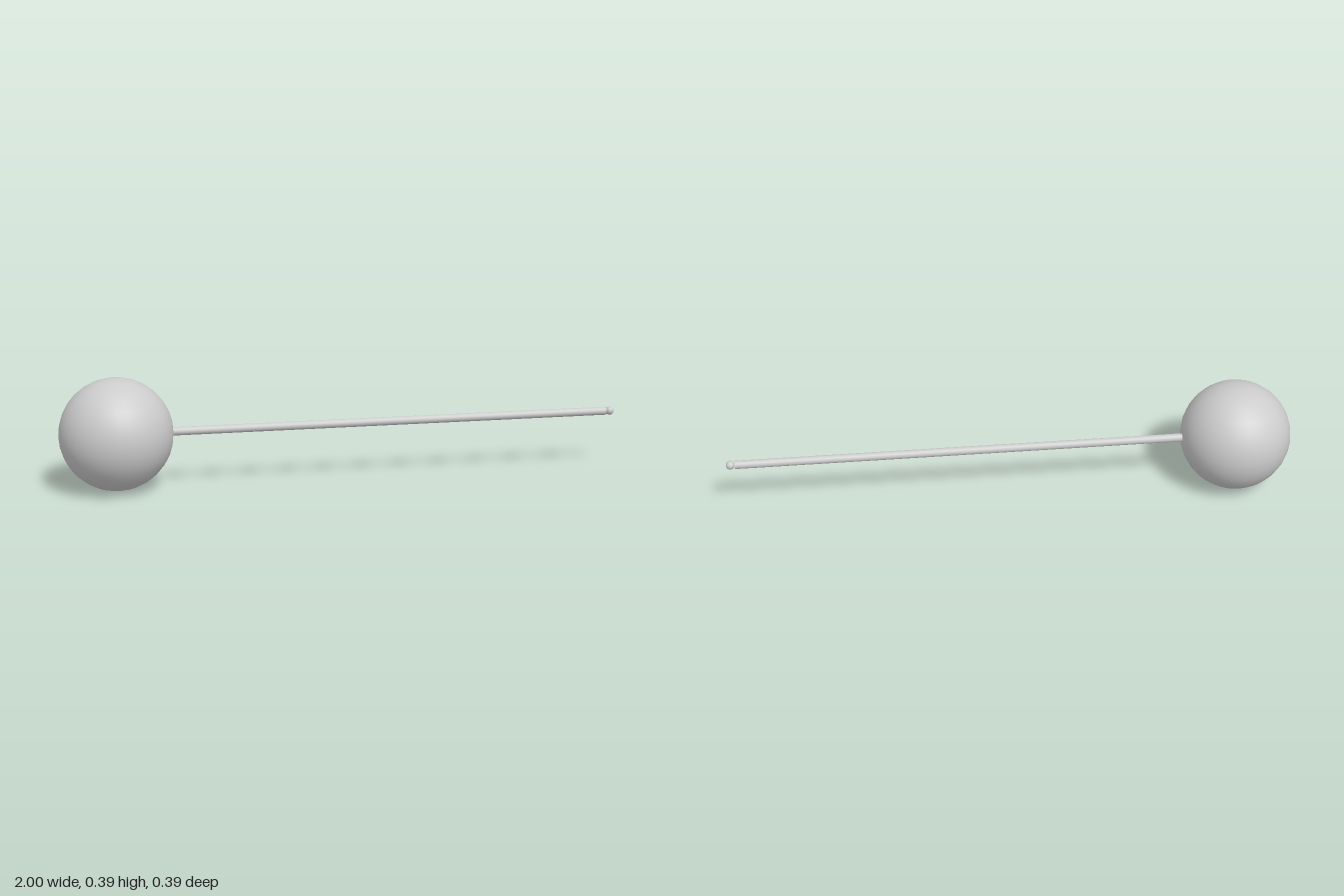
import * as THREE from 'three';

export function createModel() {
  const group = new THREE.Group();
  const material = new THREE.MeshStandardMaterial({ color: 0xcccccc });
  const axisY = 0.196;

  const add = (name, geometry, x) => {
    const mesh = new THREE.Mesh(geometry, material);
    mesh.name = name;
    mesh.position.set(x, axisY, 0);
    group.add(mesh);
    return mesh;
  };

  // Large ball at the right end
  add('ball', new THREE.SphereGeometry(0.196, 32, 16), -0.804);

  // Thin rod running along x, its inner end just inside the ball
  const rodStart = -0.615, rodEnd = 0.968;
  const rod = new THREE.CylinderGeometry(0.0148, 0.0148, rodEnd - rodStart, 16);
  rod.rotateZ(-Math.PI / 2);
  add('rod', rod, (rodStart + rodEnd) / 2);

  // Small bead touching the far end of the rod
  add('tipBead', new THREE.SphereGeometry(0.0156, 32, 16), 0.9844);

  return group;
}
